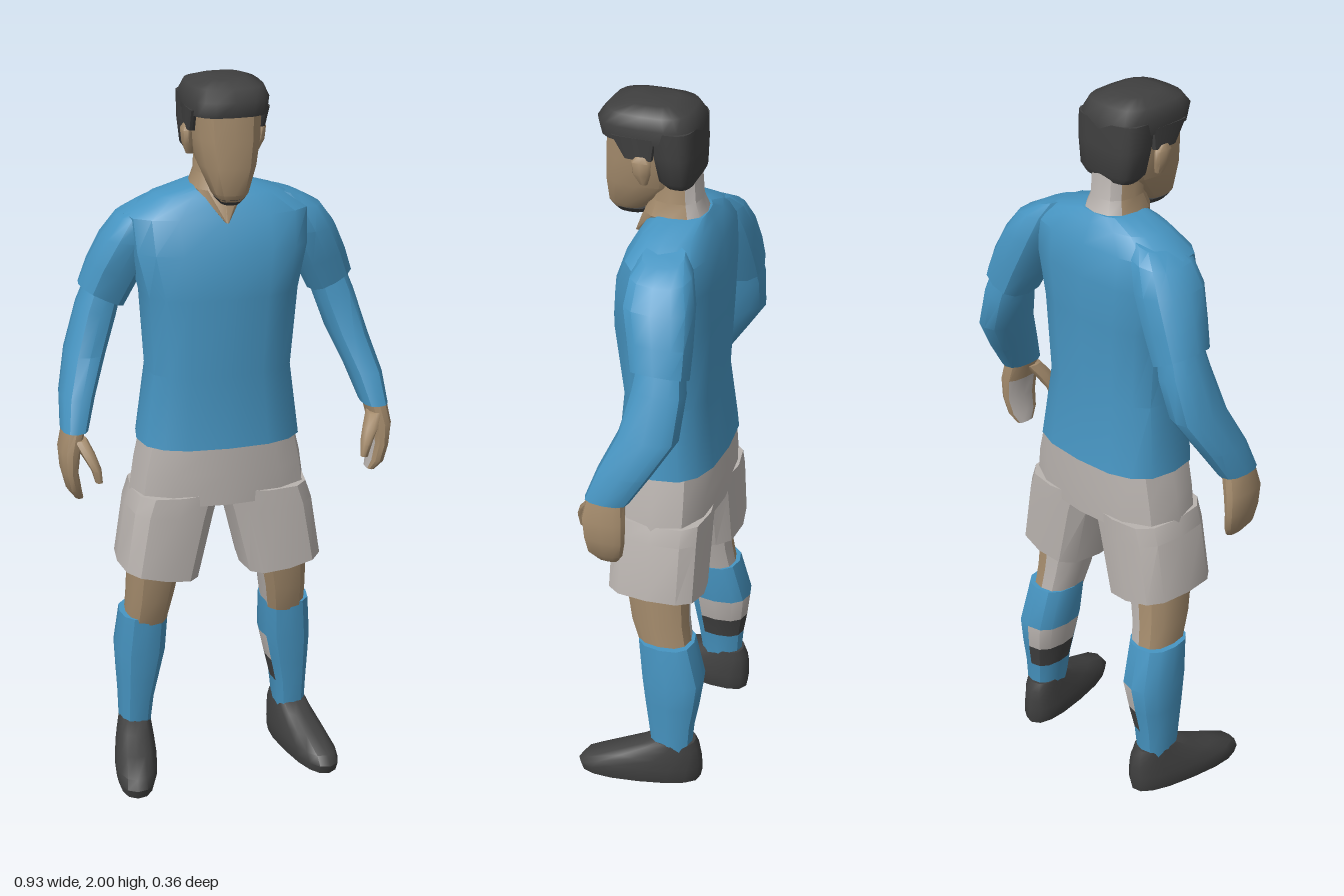
import * as THREE from 'three';
import { toCreasedNormals } from 'three/addons/utils/BufferGeometryUtils.js';

const mat = (name, color) => {
  const m = new THREE.MeshStandardMaterial({ color });
  m.name = name;
  return m;
};

// Closed loft through horizontal rounded sections, listed bottom to top.
// Row: [y, centreX, radiusX, zBack, zFront, tilt]; side -1 mirrors it in x.
// pick(row, dx, dz) chooses a material index, dx > 0 being the outer side.
function loft(rows, { n = 12, p = 2.5, side = 1, pick = () => 0, crease = 0.6 } = {}) {
  const pos = [], faces = [[], [], []];
  const curve = v => Math.sign(v) * Math.abs(v) ** (2 / p);
  const dirs = Array.from({ length: n }, (_, j) => {
    const a = (j / n) * Math.PI * 2;
    return [Math.cos(a), Math.sin(a)];
  });
  for (const [y, cx, rx, z0, z1, tilt = 0] of rows) {
    for (const [c, s] of dirs) {
      const dx = rx * curve(c);
      pos.push(side * cx + dx, y + side * tilt * dx, (z0 + z1) / 2 + ((z1 - z0) / 2) * curve(s));
    }
  }
  const last = rows.length - 1, base = pos.length / 3;
  for (const r of [rows[0], rows[last]]) pos.push(side * r[1], r[0], (r[3] + r[4]) / 2);
  for (let j = 0; j < n; j++) {
    const k = (j + 1) % n, mid = ((j + 0.5) / n) * Math.PI * 2;
    const choose = i => faces[pick(i, side * Math.cos(mid), Math.sin(mid))];
    for (let i = 0; i < last; i++) {
      const a = i * n + j, b = i * n + k;
      choose(i).push(a, a + n, b, b, a + n, b + n);
    }
    choose(0).push(base, j, k);
    choose(last - 1).push(base + 1, last * n + k, last * n + j);
  }
  const g = new THREE.BufferGeometry();
  g.setAttribute('position', new THREE.Float32BufferAttribute(pos, 3));
  g.setIndex(faces.flat());
  let start = 0;
  faces.forEach((f, m) => {
    if (f.length) g.addGroup(start, f.length, m);
    start += f.length;
  });
  return toCreasedNormals(g, crease);
}

export function createModel() {
  const blue = mat('shirtBlue', 0x4795c2);
  const grey = mat('shortsGrey', 0xb9b3af);
  const skin = mat('skin', 0xa58c6d);
  const dark = mat('hairAndShoes', 0x404040);

  const model = new THREE.Group();
  model.name = 'footballPlayer';
  const body = new THREE.Group();
  body.name = 'body';
  body.position.x = -0.018;
  const arms = new THREE.Group();
  arms.name = 'arms';
  arms.position.x = -0.004;
  model.add(body, arms);

  const add = (parent, name, mats, rows, opts) => {
    const mesh = new THREE.Mesh(loft(rows, opts), [mats].flat());
    mesh.name = name;
    parent.add(mesh);
    return mesh;
  };

  // Shirt body
  add(body, 'shirt', blue, [
    [1.0, 0, 0.225, -0.175, 0.112],
    [1.2, 0, 0.2, -0.15, 0.095],
    [1.42, 0, 0.215, -0.16, 0.122],
    [1.54, 0, 0.245, -0.16, 0.108],
    [1.63, 0, 0.25, -0.15, 0.075],
    [1.68, 0, 0.17, -0.125, 0.045],
    [1.705, 0, 0.08, -0.11, 0.02],
  ], { p: 2.7, n: 16 });

  // Neck, tapering down into the V of the collar
  add(body, 'neck', [skin, grey], [
    [1.62, 0, 0.005, 0.07, 0.09],
    [1.7, 0, 0.075, -0.11, 0.06],
    [1.74, 0, 0.062, -0.093, 0.042],
    [1.85, 0, 0.06, -0.085, 0.04],
  ], { pick: (i, dx, dz) => (i > 0 && dz < -0.4 ? 1 : 0) });

  // Head
  add(body, 'face', skin, [
    [1.69, 0, 0.032, 0.07, 0.145],
    [1.71, 0, 0.048, 0.04, 0.158],
    [1.78, 0, 0.075, -0.04, 0.165],
    [1.85, 0, 0.088, -0.06, 0.162],
    [1.94, 0, 0.094, -0.06, 0.156],
  ]);
  add(body, 'beard', dark, [
    [1.68, 0, 0.025, 0.06, 0.135],
    [1.697, 0, 0.04, 0.045, 0.15],
  ]);
  add(body, 'hairTop', dark, [
    [1.915, 0, 0.104, -0.09, 0.166],
    [1.955, 0, 0.108, -0.092, 0.175],
    [1.985, 0, 0.095, -0.07, 0.15],
    [2.0, 0, 0.055, -0.02, 0.1],
  ], { p: 3.2, n: 20, crease: 1 });
  add(body, 'hairBack', dark, [
    [1.79, 0, 0.078, -0.08, -0.01],
    [1.81, 0, 0.094, -0.09, 0.01],
    [1.88, 0, 0.103, -0.092, 0.025],
    [1.95, 0, 0.105, -0.09, 0.04],
  ], { p: 3.2, n: 20, crease: 1 });

  // Shorts
  add(body, 'shortsHips', grey, [
    [0.83, 0, 0.25, -0.165, 0.095],
    [0.92, 0, 0.238, -0.168, 0.098],
    [1.03, 0, 0.212, -0.165, 0.1],
  ], { p: 2.8 });

  for (const side of [1, -1]) {
    const label = side > 0 ? 'left' : 'right';
    const inner = (dx, dz) => dx < -0.2 && dz < 0.3;

    add(body, label + 'Ear', skin, [
      [1.8, 0.088, 0.01, 0.025, 0.045],
      [1.83, 0.096, 0.014, 0.015, 0.062],
      [1.865, 0.099, 0.014, 0.012, 0.066],
      [1.88, 0.095, 0.01, 0.025, 0.055],
    ], { side, n: 8, crease: 1 });
    add(body, label + 'Sideburn', dark, [
      [1.87, 0.093, 0.01, 0.01, 0.085],
      [1.93, 0.096, 0.01, 0.0, 0.12],
    ], { side, p: 4 });

    // Legs
    add(body, label + 'ShortsLeg', grey, [
      [0.622, 0.175, 0.11, -0.165, 0.1, 0.18],
      [0.8, 0.14, 0.12, -0.166, 0.098, 0.1],
      [0.86, 0.122, 0.122, -0.165, 0.096],
    ], { side, p: 3 });
    add(body, label + 'Knee', [skin, grey], [
      [0.45, 0.2, 0.058, -0.14, 0.008],
      [0.53, 0.192, 0.064, -0.128, 0.035],
      [0.68, 0.175, 0.078, -0.12, 0.06],
    ], { side, pick: (i, dx, dz) => (inner(dx, dz) ? 1 : 0) });
    add(body, label + 'Sock', [blue, grey, dark], [
      [0.1, 0.23, 0.043, -0.15, -0.035],
      [0.2, 0.226, 0.05, -0.158, -0.022],
      [0.27, 0.22, 0.06, -0.17, -0.012],
      [0.35, 0.213, 0.071, -0.18, -0.002],
      [0.47, 0.205, 0.068, -0.148, 0.01],
    ], { side, pick: (i, dx, dz) => (inner(dx, dz) ? [0, 2, 1, 0][i] : 0) });
    const shoe = add(body, label + 'Shoe', dark, [
      [0, 0, 0.054, -0.085, 0.262],
      [0.025, 0, 0.06, -0.09, 0.27],
      [0.05, 0, 0.059, -0.09, 0.25],
      [0.08, 0, 0.054, -0.088, 0.175],
      [0.11, 0, 0.048, -0.082, 0.1],
      [0.135, 0, 0.043, -0.07, 0.055],
    ], { side, n: 16, crease: 0.9 });
    shoe.position.set(side * 0.23, 0, -0.09);
    shoe.rotation.y = side * 0.19;

    // Arms
    add(arms, label + 'Sleeve', blue, [
      [1.4, 0.318, 0.059, -0.17, -0.018, 0.5],
      [1.47, 0.288, 0.066, -0.168, 0.0, 0.4],
      [1.56, 0.245, 0.075, -0.16, 0.025, 0.1],
      [1.63, 0.21, 0.068, -0.14, 0.02, -0.1],
      [1.665, 0.18, 0.045, -0.11, 0.0, -0.3],
    ], { side });
    add(arms, label + 'Forearm', blue, [
      [1.065, 0.42, 0.036, -0.045, 0.075],
      [1.15, 0.402, 0.047, -0.1, 0.045],
      [1.25, 0.368, 0.054, -0.162, 0.0],
      [1.36, 0.332, 0.052, -0.168, -0.025, 0.3],
      [1.44, 0.305, 0.045, -0.155, -0.035, 0.4],
    ], { side });
    add(arms, label + 'Hand', [skin, grey], [
      [0.87, 0.413, 0.012, -0.01, 0.045],
      [0.9, 0.427, 0.02, -0.028, 0.068],
      [0.95, 0.437, 0.022, -0.038, 0.075],
      [1.01, 0.436, 0.028, -0.04, 0.08],
      [1.08, 0.42, 0.031, -0.032, 0.066],
    ], { side, pick: (i, dx, dz) => (i < 3 && dx < -0.3 && dz < 0.4 ? 1 : 0) });
    add(arms, label + 'Thumb', skin, [
      [0.935, 0.371, 0.01, 0.085, 0.11],
      [0.97, 0.377, 0.014, 0.07, 0.115],
      [1.01, 0.395, 0.019, 0.045, 0.1],
      [1.045, 0.412, 0.02, 0.02, 0.075],
    ], { side, n: 8, crease: 1 });
  }
  return model;
}
